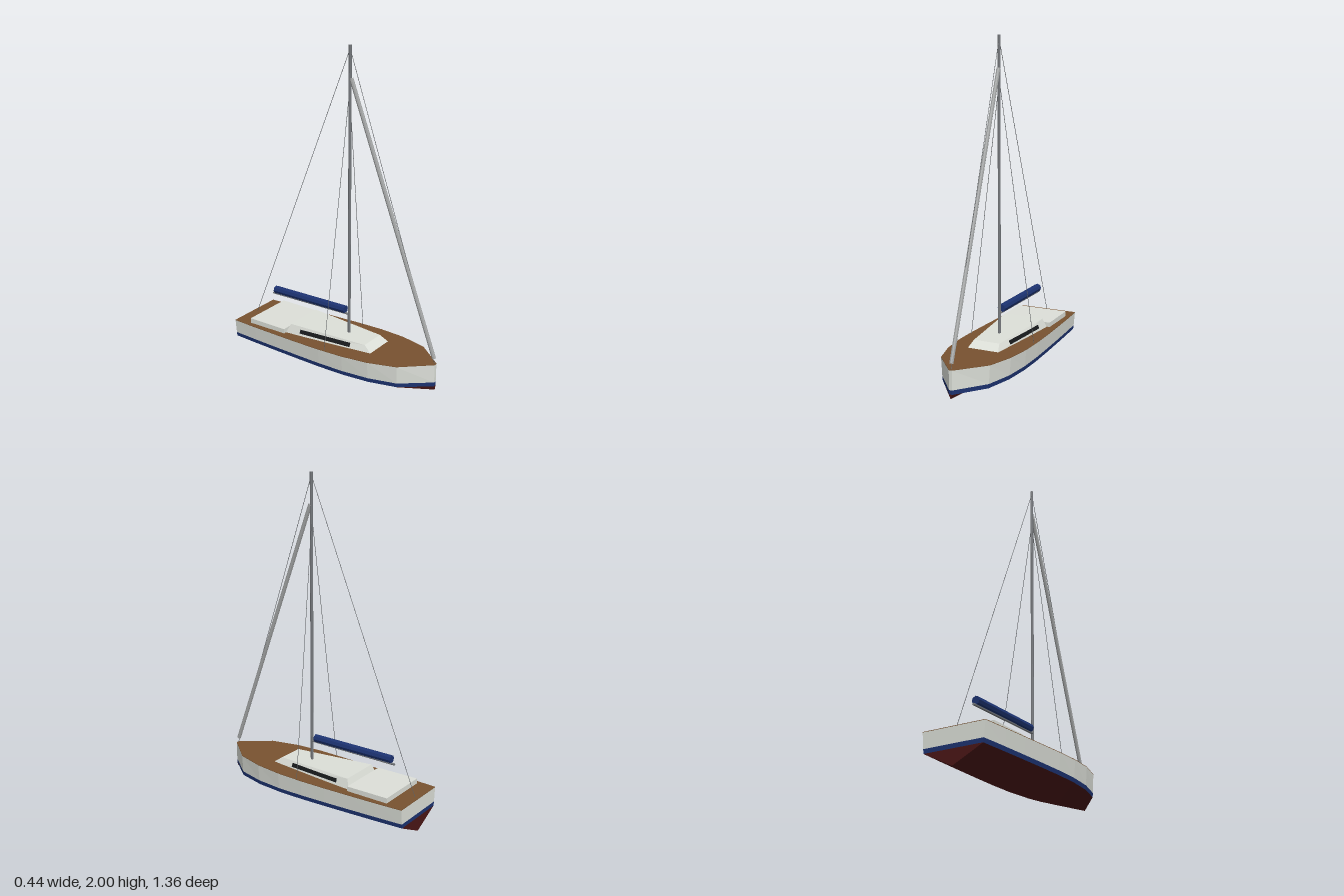
import * as THREE from 'three';

const mat = (name, color) => {
  const m = new THREE.MeshStandardMaterial({ color, flatShading: true });
  m.name = name;
  return m;
};
const lerp = THREE.MathUtils.lerp;

// Closed solid from matching cross-sections, counter-clockwise as seen from the last one
function loft(sections) {
  const n = sections[0].length, pos = [];
  const tri = (a, b, c) => pos.push(...a, ...b, ...c);
  for (let k = 0; k < sections.length - 1; k++) {
    const s = sections[k], t = sections[k + 1];
    for (let i = 0; i < n; i++) {
      const j = (i + 1) % n;
      tri(s[i], s[j], t[j]);
      tri(s[i], t[j], t[i]);
    }
  }
  const first = sections[0], last = sections[sections.length - 1];
  for (let i = 1; i < n - 1; i++) {
    tri(first[0], first[i + 1], first[i]);
    tri(last[0], last[i], last[i + 1]);
  }
  const g = new THREE.BufferGeometry();
  g.setAttribute('position', new THREE.Float32BufferAttribute(pos, 3));
  g.computeVertexNormals();
  return g;
}

export function createModel() {
  const model = new THREE.Group();
  model.name = 'sailboat';
  const white = mat('hullWhite', 0xdcdfd8);
  const red = mat('bottomRed', 0x4a1616);
  const blue = mat('navyBlue', 0x1c3270);
  const teak = mat('deckTeak', 0x785230);
  const black = mat('windowBlack', 0x17191b);
  const metal = mat('sparGrey', 0x76797d);
  const sail = mat('furledSailGrey', 0xa4a6a6);
  const wire = mat('wireGrey', 0x5c5f62);

  const add = (name, geometry, material) => {
    const mesh = new THREE.Mesh(geometry, material);
    mesh.name = name;
    model.add(mesh);
    return mesh;
  };
  // Round bar between two points
  const bar = (name, from, to, radius, material, sides = 8) => {
    const a = new THREE.Vector3(...from), b = new THREE.Vector3(...to);
    const mesh = add(name, new THREE.CylinderGeometry(radius, radius, a.distanceTo(b), sides), material);
    mesh.position.copy(a).add(b).multiplyScalar(0.5);
    mesh.quaternion.setFromUnitVectors(new THREE.Vector3(0, 1, 0), b.sub(a).normalize());
    return mesh;
  };

  // Hull stations, stern to bow: z, half width, keel height, deck height
  const stations = [
    [-0.68, 0.19, 0.002, 0.206], [-0.51, 0.2, 0.001, 0.207], [-0.34, 0.208, 0, 0.209],
    [-0.17, 0.215, 0, 0.211], [0, 0.22, 0.002, 0.214], [0.17, 0.218, 0.008, 0.218],
    [0.34, 0.2, 0.027, 0.222], [0.51, 0.153, 0.045, 0.226], [0.68, 0.01, 0.064, 0.23],
  ];
  const chine = 0.09, bandTop = 0.115;
  const layer = (y0, f0, y1, f1) => loft(stations.map(([z, w, , deck]) => {
    const lo = y0(deck), hi = y1(deck);
    return [[-w * f0, lo, z], [w * f0, lo, z], [w * f1, hi, z], [-w * f1, hi, z]];
  }));
  add('hullBottom', loft(stations.map(([z, w, keel]) =>
    [[-w * 0.94, chine, z], [0, keel, z], [w * 0.94, chine, z]])), red);
  add('waterlineStripe', layer(() => chine, 0.94, () => bandTop, 0.955), blue);
  add('hullSides', layer(() => bandTop, 0.955, d => d - 0.003, 1), white);
  add('deck', layer(d => d - 0.003, 1, d => d, 1), teak);

  // Cabin trunk, tapering forward with sloped sides
  const ring = (y, zAft, wAft, yFore, zFore, wFore) => [
    [-wFore, yFore, zFore], [wFore, yFore, zFore], [wAft, y, zAft], [-wAft, y, zAft]];
  add('cabin', loft([
    ring(0.205, -0.3, 0.15, 0.213, 0.305, 0.1),
    ring(0.266, -0.275, 0.128, 0.256, 0.245, 0.082),
  ]), white);

  // Cockpit block
  const cockpit = add('cockpit', new THREE.BoxGeometry(0.334, 0.04, 0.27), white);
  cockpit.position.set(0, 0.218, -0.435);

  // Side windows lying on the cabin sides
  const sideX = (z, y) => {
    const t = (y - 0.209) / 0.052;
    return lerp(lerp(0.15, 0.1, (z + 0.3) / 0.605), lerp(0.128, 0.082, (z + 0.275) / 0.52), t);
  };
  for (const side of [1, -1]) {
    const sections = [-0.2, 0.15].map(z => {
      const lo = sideX(z, 0.226), hi = sideX(z, 0.247);
      const p = [[lo - 0.003, 0.226, z], [lo + 0.004, 0.226, z], [hi + 0.004, 0.247, z], [hi - 0.003, 0.247, z]]
        .map(([x, y, d]) => [x * side, y, d]);
      return side > 0 ? p : p.reverse();
    });
    add(side > 0 ? 'leftWindow' : 'rightWindow', loft(sections), black);
  }

  // Mast, boom, sail cover and furled headsail
  bar('mast', [0, 0.22, 0.075], [0, 2, 0.075], 0.009, metal);
  bar('boom', [0, 0.38, 0.075], [0, 0.371, -0.515], 0.007, metal);
  bar('sailCover', [0, 0.403, 0.048], [0, 0.398, -0.495], 0.0245, blue);
  bar('furledHeadsail', [0, 0.262, 0.668], [0, 1.816, 0.083], 0.012, sail);

  // Standing rigging
  bar('forestay', [0, 0.228, 0.674], [0, 1.98, 0.075], 0.0016, wire, 5);
  bar('backstay', [0, 0.205, -0.655], [0, 1.98, 0.075], 0.0016, wire, 5);
  for (const side of [1, -1]) {
    bar(side > 0 ? 'leftShroud' : 'rightShroud',
      [0.207 * side, 0.212, 0.037], [0, 1.75, 0.072], 0.0016, wire, 5);
  }
  return model;
}
